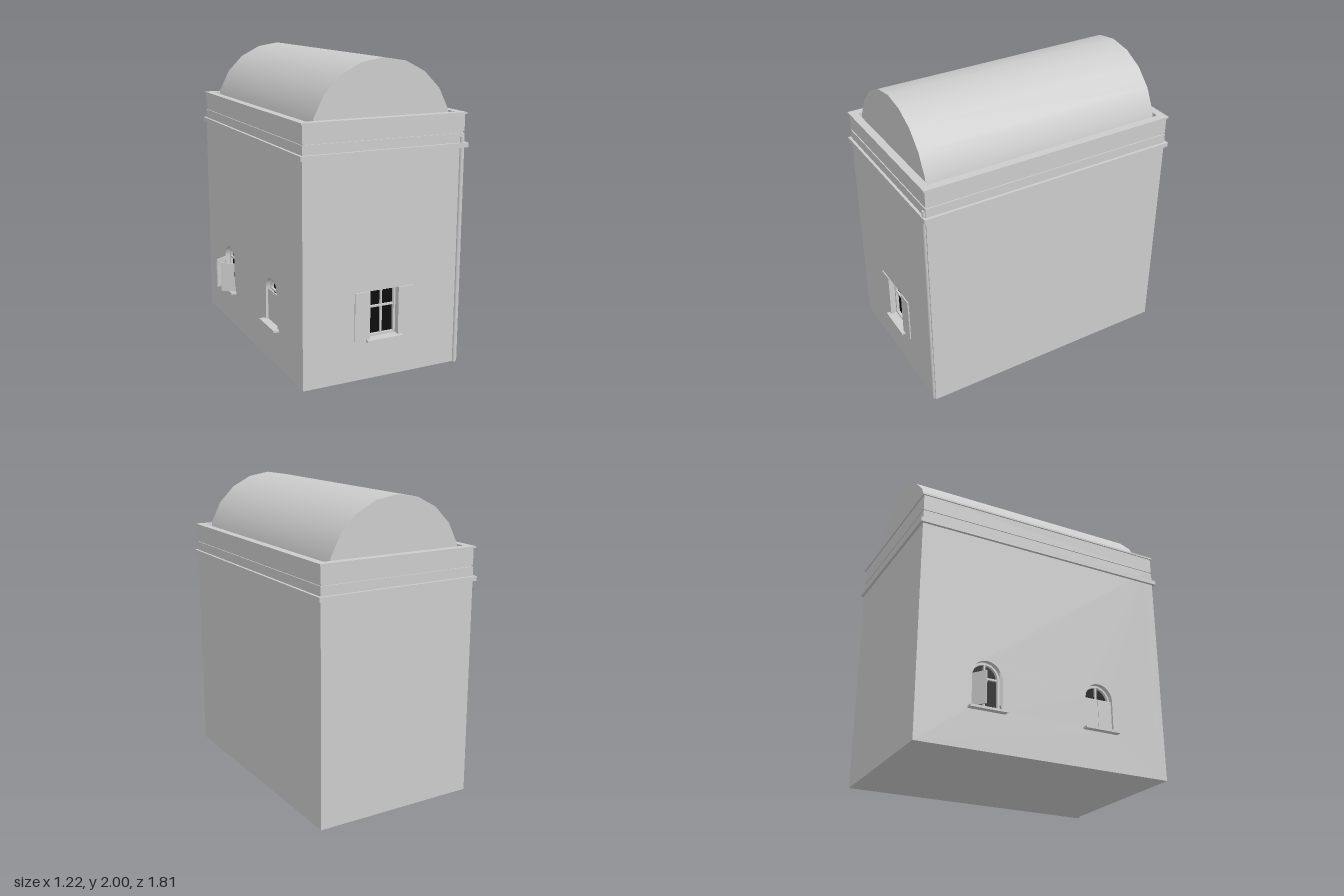
import * as THREE from 'three';

const stone = new THREE.MeshStandardMaterial({ color: 0xcccccc });
stone.name = 'stone grey';
const dark = new THREE.MeshStandardMaterial({ color: 0x0c0c0c });
dark.name = 'dark interior';

// Footprint of the house
const X0 = -0.52, X1 = 0.59, Z0 = -0.885, Z1 = 0.87, TOP = 1.52, T = 0.06;
const CX = (X0 + X1) / 2, CZ = (Z0 + Z1) / 2;

function add(parent, name, geometry, material = stone) {
  const mesh = new THREE.Mesh(geometry, material);
  mesh.name = name;
  parent.add(mesh);
  return mesh;
}

// Box given by its limits
function box(parent, name, x0, x1, y0, y1, z0, z1, material) {
  const g = new THREE.BoxGeometry(x1 - x0, y1 - y0, z1 - z0);
  g.translate((x0 + x1) / 2, (y0 + y1) / 2, (z0 + z1) / 2);
  return add(parent, name, g, material);
}

function rect(Type, x0, x1, y0, y1) {
  const p = new Type();
  p.moveTo(x0, y0);
  p.lineTo(x1, y0);
  p.lineTo(x1, y1);
  p.lineTo(x0, y1);
  p.closePath();
  return p;
}

// Window outline, with a round head when arched
function outline(Type, w) {
  if (!w.arched) return rect(Type, w.c - w.r, w.c + w.r, w.y0, w.y1);
  const p = new Type();
  p.moveTo(w.c - w.r, w.y0);
  p.lineTo(w.c + w.r, w.y0);
  p.lineTo(w.c + w.r, w.y1);
  p.absarc(w.c, w.y1, w.r, 0, Math.PI, false);
  p.closePath();
  return p;
}

function extrude(shape, depth) {
  return new THREE.ExtrudeGeometry(shape, { depth, bevelEnabled: false, curveSegments: 10 });
}

// Horizontal ring around the house; out widens it, width is its thickness
function ring(parent, name, out, width, y0, y1) {
  const hx = (X1 - X0) / 2 + out, hz = (Z1 - Z0) / 2 + out;
  const s = rect(THREE.Shape, -hx, hx, -hz, hz);
  s.holes.push(rect(THREE.Path, -hx + width, hx - width, -hz + width, hz - width));
  const g = extrude(s, y1 - y0).rotateX(-Math.PI / 2).translate(CX, y0, CZ);
  return add(parent, name, g);
}

// Shutter hinged on one side; open is the outward swing
function shutter(parent, w, side, width, open, z) {
  const h = w.y1 - w.y0;
  const g = new THREE.BoxGeometry(width, h, 0.008).translate(-side * width / 2, h / 2, 0);
  const m = add(parent, 'shutter', g);
  m.position.set(w.c + side * w.r, w.y0, z);
  m.rotation.y = side * open;
}

// Wall with window openings; its outer face lies on local z = 0
function wall(name, u0, u1, windows) {
  const group = new THREE.Group();
  group.name = name;
  const s = rect(THREE.Shape, u0, u1, 0, TOP);
  windows.forEach((w) => s.holes.push(outline(THREE.Path, w)));
  add(group, 'wallPanel', extrude(s, T).translate(0, 0, -T));
  for (const w of windows) {
    const head = w.arched ? w.y1 + w.r : w.y1;
    // Dark opening behind the frame
    const pane = add(group, 'windowPane', new THREE.ShapeGeometry(outline(THREE.Shape, w), 10), dark);
    pane.position.z = -T + 0.005;
    // Frame ring, following the opening
    const frame = outline(THREE.Shape, w);
    const inset = 0.014;
    frame.holes.push(outline(THREE.Path, {
      ...w, r: w.r - inset, y0: w.y0 + inset, y1: w.arched ? w.y1 : w.y1 - inset,
    }));
    add(group, 'windowFrame', extrude(frame, 0.02)).position.z = -T + 0.008;
    // Glazing bars
    const zb = -T + 0.01;
    const bar = w.arched ? w.y1 : 0.46;
    box(group, 'mullion', w.c - 0.006, w.c + 0.006, w.y0, head - 0.005, zb, zb + 0.015);
    box(group, 'transom', w.c - w.r, w.c + w.r, bar - 0.006, bar + 0.006, zb, zb + 0.015);
    // Sill
    box(group, 'windowSill', w.c - 0.125, w.c + 0.125, w.y0 - 0.015, w.y0, -T + 0.01, w.sill);
    for (const side of [-1, 1]) {
      if (w.shutters === 'flat') shutter(group, w, side, 0.105, Math.PI, 0.004);
      if (w.shutters === 'open') shutter(group, w, side, 0.1, 0.97, 0.004);
      if (w.shutters === 'closed') shutter(group, w, side, w.r - 0.001, 0, -0.02);
    }
  }
  return group;
}

export function createModel() {
  const house = new THREE.Group();
  house.name = 'house';

  // Front wall with a rectangular window
  const front = wall('frontWall', X0, X1, [
    { c: 0.035, r: 0.1, y0: 0.265, y1: 0.578, sill: 0.032, shutters: 'flat' },
  ]);
  front.position.z = Z1;
  house.add(front);

  // Side wall with two arched windows
  const arch = { arched: true, r: 0.1, y0: 0.265, y1: 0.475, sill: 0.04 };
  const sideWall = wall('windowSideWall', Z0, Z1 - T, [
    { ...arch, c: -0.425, shutters: 'open' },
    { ...arch, c: 0.375, shutters: 'closed' },
  ]);
  sideWall.rotation.y = -Math.PI / 2;
  sideWall.position.x = X0;
  house.add(sideWall);

  // Plain walls, floor and roof slab
  box(house, 'plainSideWall', X1 - T, X1, 0, TOP, Z0, Z1 - T);
  box(house, 'backWall', X0 + T, X1 - T, 0, TOP, Z0, Z0 + T);
  box(house, 'floor', X0 + T, X1 - T, 0, 0.03, Z0 + T, Z1 - T);
  box(house, 'roofSlab', X0 + T, X1 - T, TOP - 0.03, TOP, Z0 + T, Z1 - T);

  // Cornice, shadow groove, parapet and coping
  ring(house, 'cornice', 0.018, 0.03, 1.43, 1.46);
  ring(house, 'parapetGroove', -0.007, 0.038, TOP, 1.53);
  ring(house, 'parapet', -0.001, 0.044, 1.53, 1.638);
  ring(house, 'coping', 0.008, 0.053, 1.638, 1.65);

  // Barrel roof with closed ends
  const r = 0.482, zBack = -0.838, zFront = 0.818, length = zFront - zBack;
  const vault = new THREE.CylinderGeometry(r, r, length, 10, 1, true, -Math.PI / 2, Math.PI);
  vault.rotateX(-Math.PI / 2).translate(0, 0, (zBack + zFront) / 2);
  const barrel = new THREE.Group();
  barrel.name = 'barrelRoof';
  barrel.position.set(0.037, 2 - r, 0);
  // The arc must bulge upward
  vault.computeBoundingBox();
  if (vault.boundingBox.max.y < 0.1) vault.rotateZ(Math.PI);
  add(barrel, 'vault', vault);
  for (const [z, turn] of [[zFront, 0], [zBack, Math.PI]]) {
    const end = add(barrel, 'gableEnd', new THREE.CircleGeometry(r, 10, 0, Math.PI));
    end.position.z = z;
    end.rotation.y = turn;
  }
  house.add(barrel);

  // Drainpipe at the front corner
  const pipe = add(house, 'drainpipe', new THREE.CylinderGeometry(0.013, 0.013, 1.5, 10));
  pipe.position.set(0.568, 0.75, Z1 + 0.001);

  return house;
}
